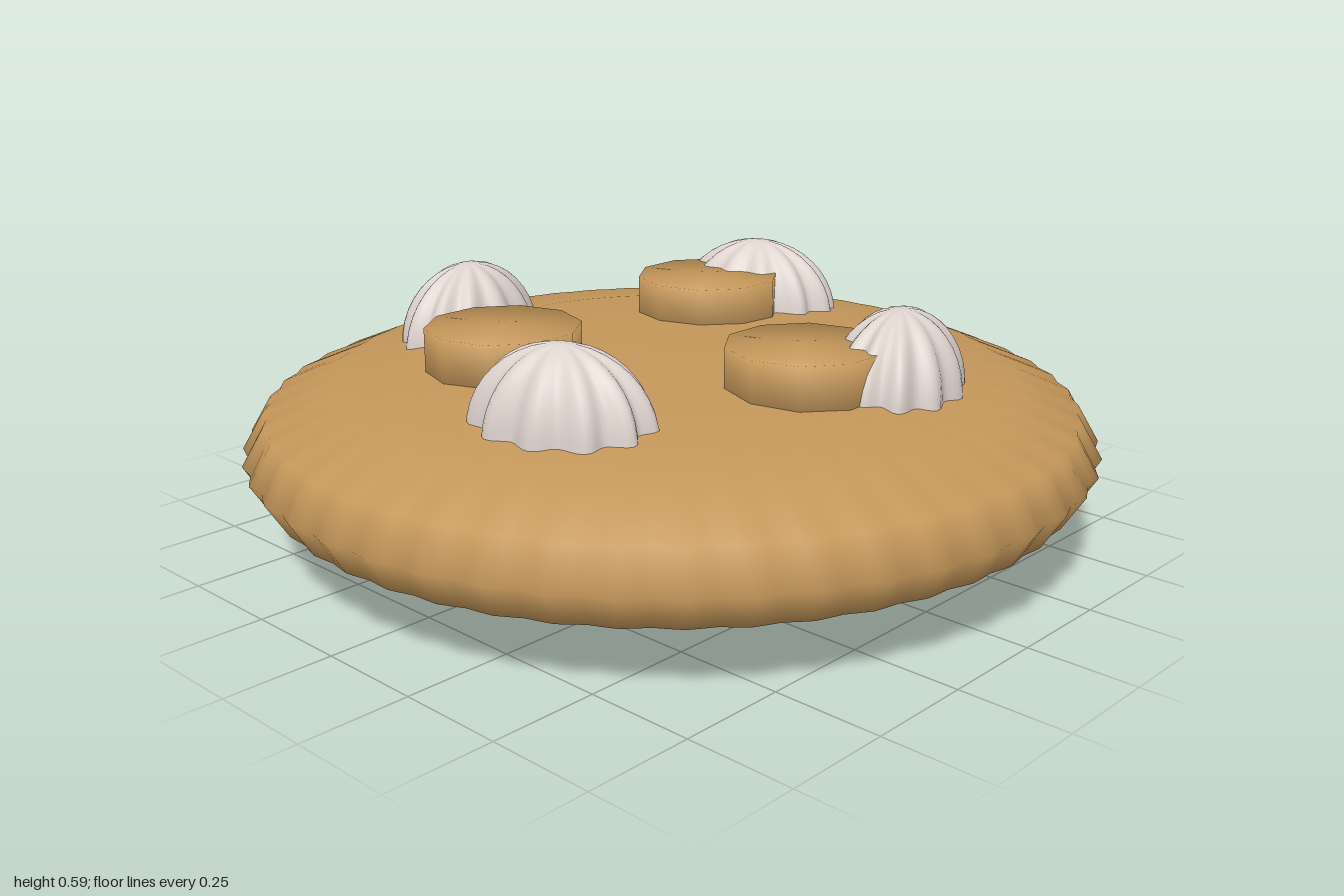
import * as THREE from 'three';

const crust = new THREE.MeshStandardMaterial({ name: 'golden crust', color: 0xc4975a });
const cream = new THREE.MeshStandardMaterial({ name: 'whipped cream', color: 0xded3cd });

const lathe = (points, sides) =>
  new THREE.LatheGeometry(points.map(([r, y]) => new THREE.Vector2(r, y)), sides);

// Scale each vertex's distance from the axis by rule(angle, y)
function flute(geometry, rule) {
  const p = geometry.attributes.position;
  for (let i = 0; i < p.count; i++) {
    const x = p.getX(i), z = p.getZ(i);
    const k = rule(Math.atan2(z, x), p.getY(i));
    p.setX(i, x * k);
    p.setZ(i, z * k);
  }
  // Keep the lathe's seam smooth by copying the averaged normals across it
  geometry.computeVertexNormals();
  const n = geometry.attributes.normal;
  const rows = geometry.parameters.points.length;
  for (let j = 0; j < rows; j++) {
    const a = new THREE.Vector3().fromBufferAttribute(n, j);
    const last = n.count - rows + j;
    a.add(new THREE.Vector3().fromBufferAttribute(n, last)).normalize();
    n.setXYZ(j, a.x, a.y, a.z);
    n.setXYZ(last, a.x, a.y, a.z);
  }
  return geometry;
}

// Lens-shaped body with a finely crimped rim
function makePie() {
  const profile = [
    [0, 0], [0.3, 0.028], [0.56, 0.052], [0.8, 0.1], [0.945, 0.165], [0.993, 0.245],
    [0.945, 0.33], [0.8, 0.392], [0.57, 0.427], [0.3, 0.438], [0, 0.445],
  ];
  const geometry = flute(lathe(profile, 192), (a, y) => {
    const rim = Math.max(0, 1 - Math.abs(y - 0.25) / 0.17);
    return 1 + 0.007 * Math.sqrt(rim) * Math.cos(48 * a);
  });
  const mesh = new THREE.Mesh(geometry, crust);
  mesh.name = 'pieCrust';
  return mesh;
}

// Ten-sided slice with softly shaded edges
function makeSlice(angle) {
  const geometry = lathe([[0, 0.38], [0.18, 0.38], [0.18, 0.528], [0, 0.528]], 10);
  const mesh = new THREE.Mesh(geometry, crust);
  mesh.name = 'slice';
  mesh.position.set(0.4 * Math.cos(angle), 0, 0.4 * Math.sin(angle));
  return mesh;
}

// Ridged half-dome of cream, longer along the rim than across it
function makeDollop(angle) {
  const profile = [];
  for (let i = 0; i <= 10; i++) {
    const t = (i / 10) * Math.PI / 2;
    profile.push([Math.cos(t), Math.sin(t)]);
  }
  const geometry = flute(lathe(profile, 88), (a, y) =>
    1 + 0.075 * Math.cos(11 * a + 0.6 * y));
  geometry.scale(0.14, 0.195, 0.2);
  const mesh = new THREE.Mesh(geometry, cream);
  mesh.name = 'creamDollop';
  mesh.position.set(0.55 * Math.cos(angle), 0.4, 0.55 * Math.sin(angle));
  mesh.rotation.y = -angle;
  return mesh;
}

export function createModel() {
  const model = new THREE.Group();
  model.name = 'pie';
  model.add(makePie());
  for (let i = 0; i < 3; i++) model.add(makeSlice(i * Math.PI * 2 / 3));
  for (let i = 0; i < 4; i++) model.add(makeDollop(1.235 + i * Math.PI / 2));
  return model;
}
